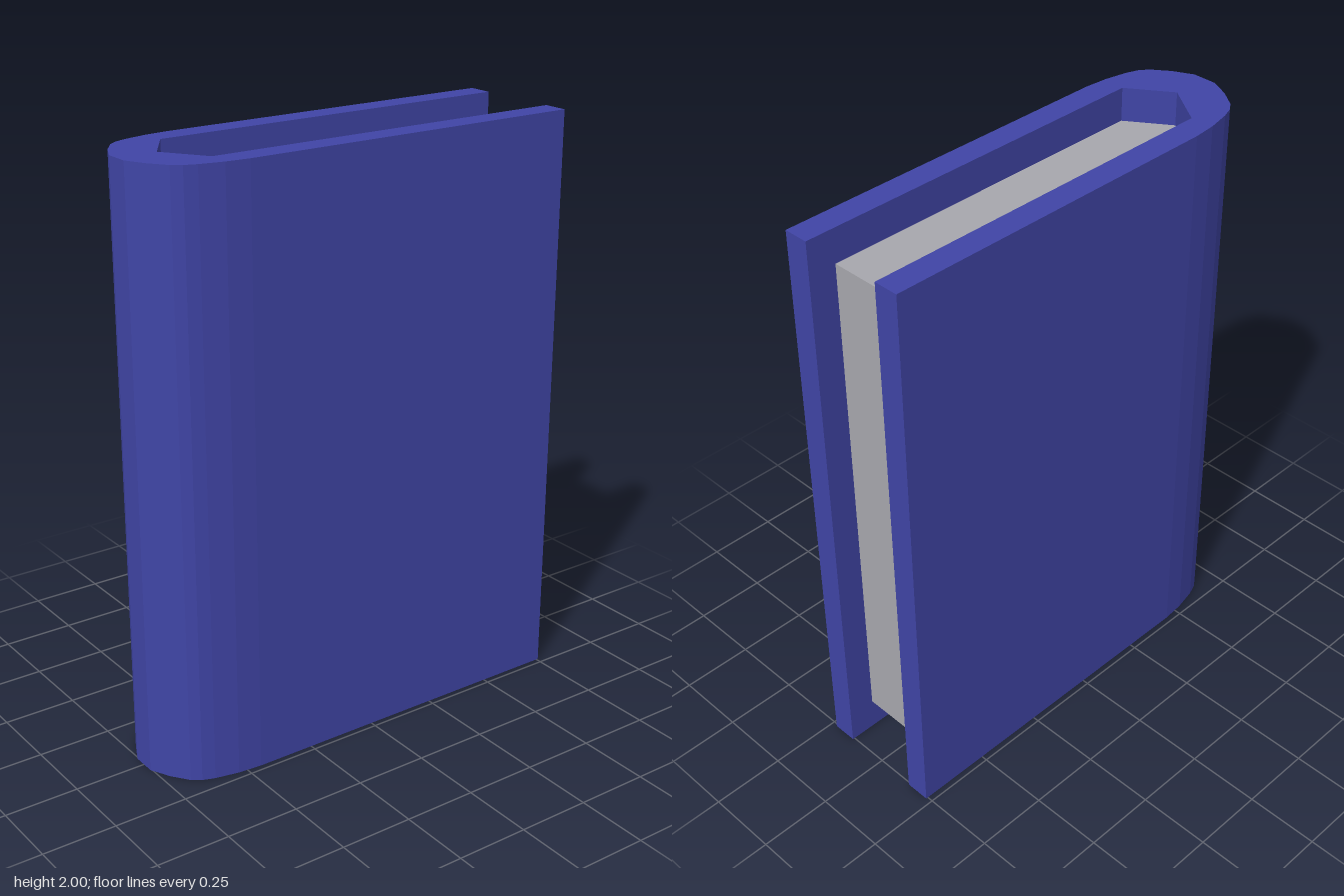
import * as THREE from 'three';

// Extrudes a plan outline of [x, z] points upwards from y0 to y1
function prism(points, y0, y1, material, name) {
  const shape = new THREE.Shape(points.map(([x, z]) => new THREE.Vector2(x, -z)));
  const geometry = new THREE.ExtrudeGeometry(shape, { depth: y1 - y0, bevelEnabled: false });
  geometry.rotateX(-Math.PI / 2).translate(0, y0, 0);
  const mesh = new THREE.Mesh(geometry, material);
  mesh.name = name;
  return mesh;
}

// Mirrors the left half of an outline across x = 0
function mirrored(half) {
  const other = half.filter(([x]) => x > 0).map(([x, z]) => [-x, z]).reverse();
  return [...half, ...other];
}

export function createModel() {
  const coverBlue = new THREE.MeshStandardMaterial({ color: 0x4045a6 });
  coverBlue.name = 'coverBlue';
  const pageGrey = new THREE.MeshStandardMaterial({ color: 0xa8a8ae });
  pageGrey.name = 'pageGrey';

  const back = -0.757, inner = 0.143, shoulder = 0.525, tip = 0.622;

  // Rounded spine and both boards, as one U-shaped outline
  const outer = [
    [0.229, back], [0.229, 0.45], [0.222, 0.53], [0.205, 0.61], [0.19, 0.65],
    [0.168, 0.68], [0.11, 0.722], [0.042, 0.755],
  ];
  const cavity = [[0, tip], [inner, shoulder], [inner, back]];
  const outerLoop = mirrored(outer);
  const cavityLoop = [[-inner, back], [-inner, shoulder], ...cavity];

  // Page block, set in from the top, bottom and open edge
  const pages = mirrored([[inner, -0.661], [inner, shoulder], [0, tip]]);

  const book = new THREE.Group();
  book.name = 'book';
  book.add(
    prism([...outerLoop, ...cavityLoop], 0, 2, coverBlue, 'cover'),
    prism(pages, 0.115, 1.885, pageGrey, 'pageBlock'),
  );
  return book;
}
